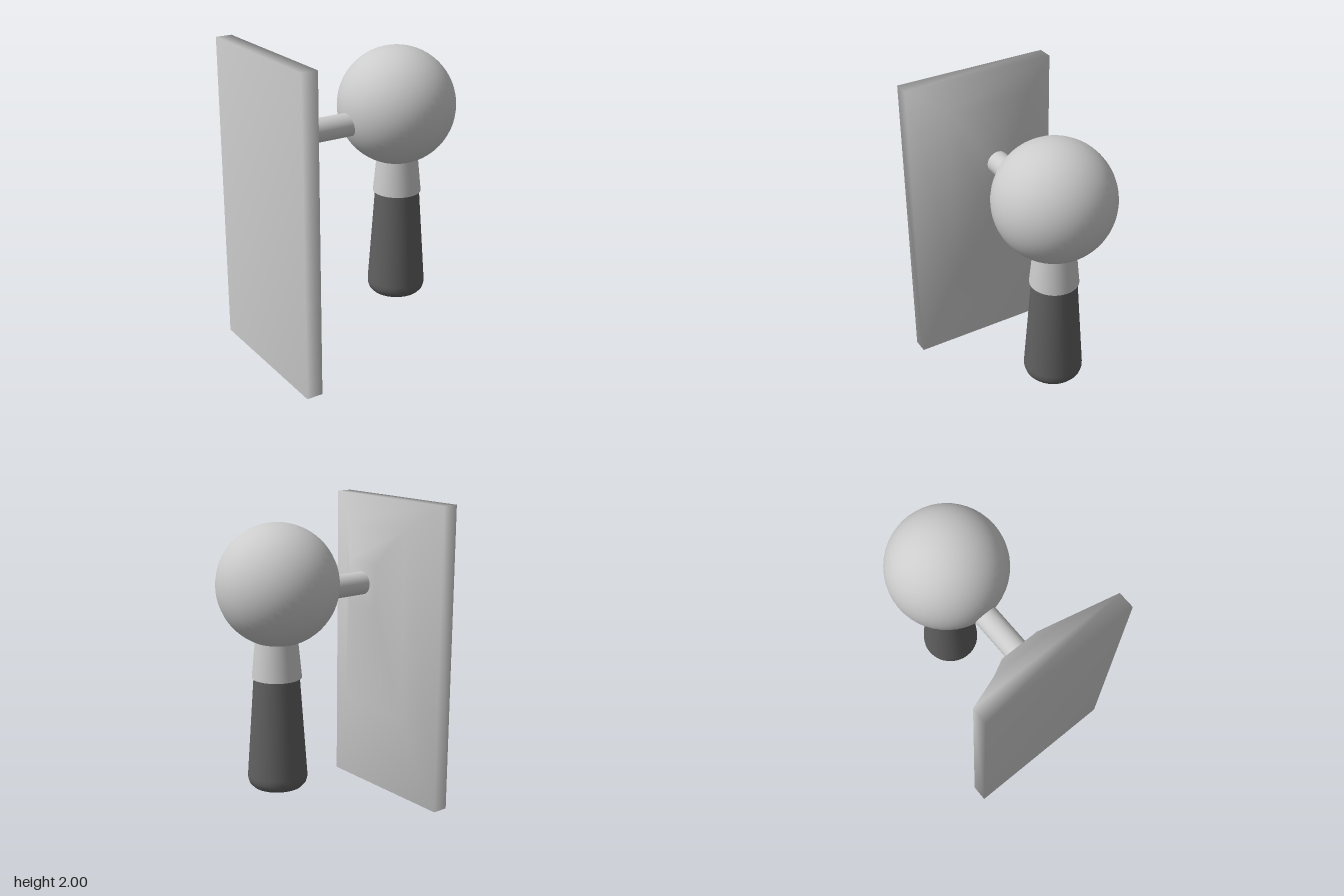
import * as THREE from 'three';

const grey = new THREE.MeshStandardMaterial({ color: 0xcccccc });
const dark = new THREE.MeshStandardMaterial({ color: 0x606060 });

function part(name, geometry, material, x, y, z) {
  const mesh = new THREE.Mesh(geometry, material);
  mesh.name = name;
  mesh.position.set(x, y, z);
  return mesh;
}

// Turned profile of [radius, height] pairs; repeated points keep an edge sharp
function turned(points) {
  return new THREE.LatheGeometry(points.map(([r, y]) => new THREE.Vector2(r, y)), 40);
}

// Wall plate: rectangular sections stepped along x, softly shaded across shared corners
function plateGeometry() {
  const sections = [ // x, bottom, top, half depth
    [-0.68, 0, 2, 0.51],
    [-0.575, 0, 2, 0.51],
    [-0.47, 0.62, 1.835, 0.28],
    [-0.365, 1.33, 1.61, 0.13],
  ];
  const positions = [];
  const index = [0, 2, 1, 0, 3, 2];
  sections.forEach(([x, lo, hi, d], s) => {
    positions.push(x, lo, -d, x, hi, -d, x, hi, d, x, lo, d);
    if (s === 0) return;
    const b = s * 4, a = b - 4;
    for (let i = 0; i < 4; i++) {
      const j = (i + 1) % 4;
      index.push(a + i, a + j, b + j, a + i, b + j, b + i);
    }
  });
  const end = (sections.length - 1) * 4;
  index.push(end, end + 1, end + 2, end, end + 2, end + 3);
  const geometry = new THREE.BufferGeometry();
  geometry.setAttribute('position', new THREE.Float32BufferAttribute(positions, 3));
  geometry.setIndex(index);
  geometry.computeVertexNormals();
  return geometry;
}

export function createModel() {
  const model = new THREE.Group();
  model.name = 'wallMountedBallHandle';

  model.add(part('wallPlate', plateGeometry(), grey, 0, 0, 0));

  // Rod from the plate into the ball
  const rod = new THREE.CylinderGeometry(0.074, 0.074, 0.4, 32).rotateZ(Math.PI / 2);
  model.add(part('connectingRod', rod, grey, -0.175, 1.475, 0));

  model.add(part('ball', new THREE.SphereGeometry(0.375, 48, 32), grey, 0.3, 1.545, 0));

  // Flared collar under the ball, closed underneath
  const collar = turned([[0, 0.97], [0.155, 0.97], [0.155, 0.97], [0.132, 1.2], [0.126, 1.26]]);
  model.add(part('collar', collar, grey, 0.313, 0, 0));

  // Tapered grip with a rounded lower end
  const grip = turned([
    [0, 0.26], [0.135, 0.26], [0.16, 0.268], [0.178, 0.288],
    [0.187, 0.315], [0.187, 0.345], [0.142, 0.98],
  ]);
  model.add(part('grip', grip, dark, 0.315, 0, 0));

  return model;
}
